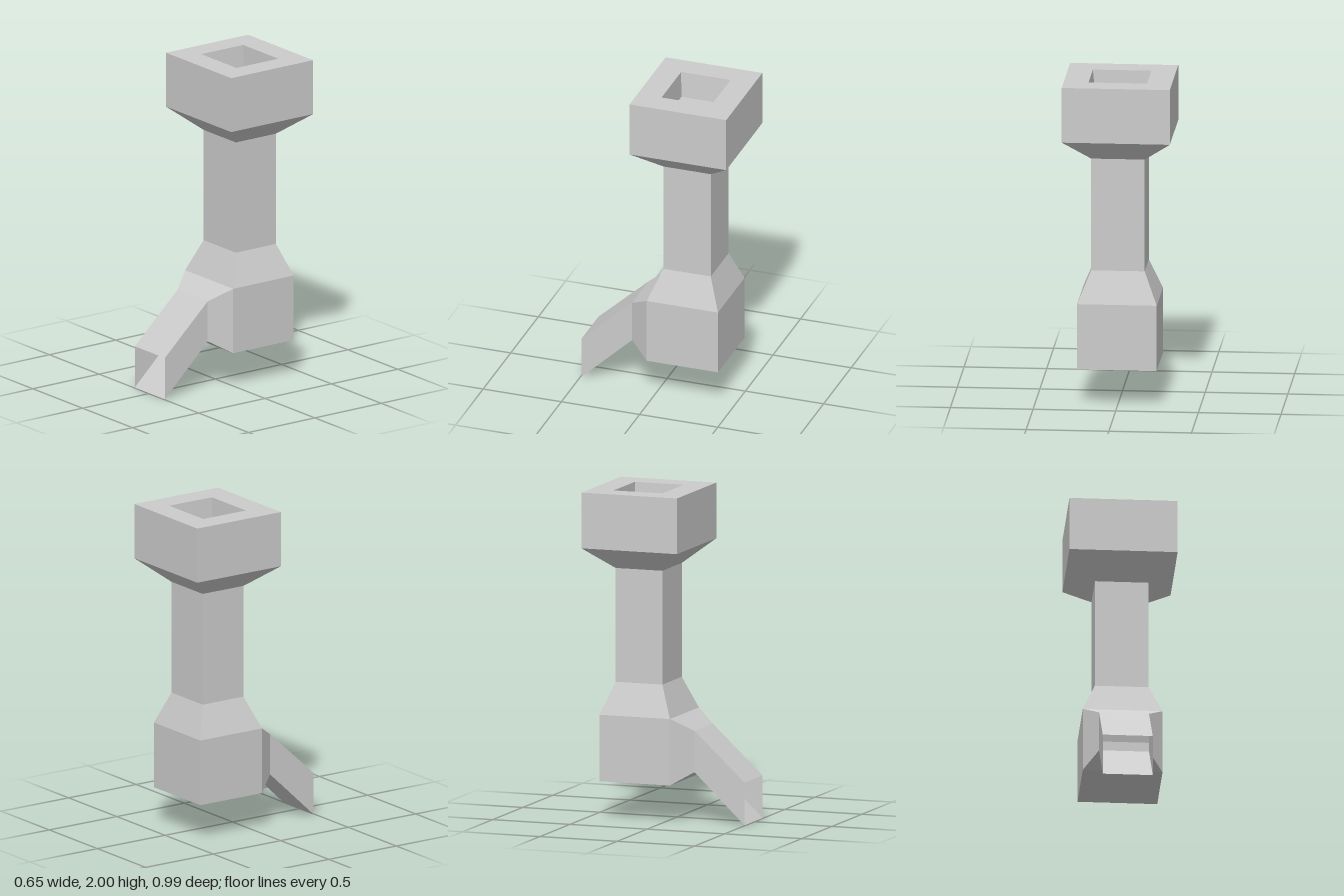
import * as THREE from 'three';

const material = new THREE.MeshStandardMaterial({ color: 0xcccccc, flatShading: true, side: THREE.DoubleSide });

// Four corners of a level rectangle, counter-clockwise from above
const level = (y, halfX, back, front) => [
  [halfX, y, front], [halfX, y, back], [-halfX, y, back], [-halfX, y, front],
];

// Four corners of an upright rectangle, counter-clockwise from the front
const upright = (z, halfX, bottom, top) => [
  [-halfX, bottom, z], [halfX, bottom, z], [halfX, top, z], [-halfX, top, z],
];

// Joins successive four-cornered sections with flat faces; skipSide leaves one side open
function loft(name, sections, { capStart = false, capEnd = false, skipSide = -1 } = {}) {
  const positions = [];
  const quad = (a, b, c, d) => positions.push(...a, ...b, ...c, ...a, ...c, ...d);
  for (let i = 0; i < sections.length - 1; i++) {
    const a = sections[i], b = sections[i + 1];
    for (let k = 0; k < 4; k++) {
      if (k === skipSide) continue;
      const n = (k + 1) % 4;
      quad(a[k], a[n], b[n], b[k]);
    }
  }
  if (capStart) quad(...[...sections[0]].reverse());
  if (capEnd) quad(...sections[sections.length - 1]);
  const geometry = new THREE.BufferGeometry();
  geometry.setAttribute('position', new THREE.Float32BufferAttribute(positions, 3));
  geometry.computeVertexNormals();
  const mesh = new THREE.Mesh(geometry, material);
  mesh.name = name;
  return mesh;
}

export function createModel() {
  const group = new THREE.Group();
  group.name = 'hopperChute';

  const boxBottom = level(0.23, 0.241, -0.41, 0.046);
  const boxTop = level(0.636, 0.241, -0.41, 0.046);
  const shaftBottom = level(0.83, 0.162, -0.336, -0.034);
  const shaftTop = level(1.525, 0.162, -0.336, -0.034);
  const headBottom = level(1.66, 0.327, -0.493, 0.125);
  const headTop = level(2, 0.327, -0.493, 0.125);

  // Lower box, open at the front where the spout joins
  group.add(loft('lowerBox', [boxBottom, boxTop], { capStart: true, skipSide: 3 }));
  // Tapered shoulder and straight shaft
  group.add(loft('shoulder', [boxTop, shaftBottom]));
  group.add(loft('shaft', [shaftBottom, shaftTop]));
  // Flared head with a recessed square opening
  group.add(loft('head', [
    shaftTop, headBottom, headTop,
    level(2, 0.177, -0.343, -0.027),
    level(1.84, 0.162, -0.338, -0.034),
  ], { capEnd: true }));
  // Narrowing collar and sloping open spout
  group.add(loft('spoutCollar', [
    upright(0.046, 0.241, 0.23, 0.636),
    upright(0.17, 0.151, 0.306, 0.558),
  ]));
  group.add(loft('spout', [
    upright(0.17, 0.151, 0.306, 0.558),
    upright(0.493, 0.151, 0, 0.26),
  ]));

  return group;
}
